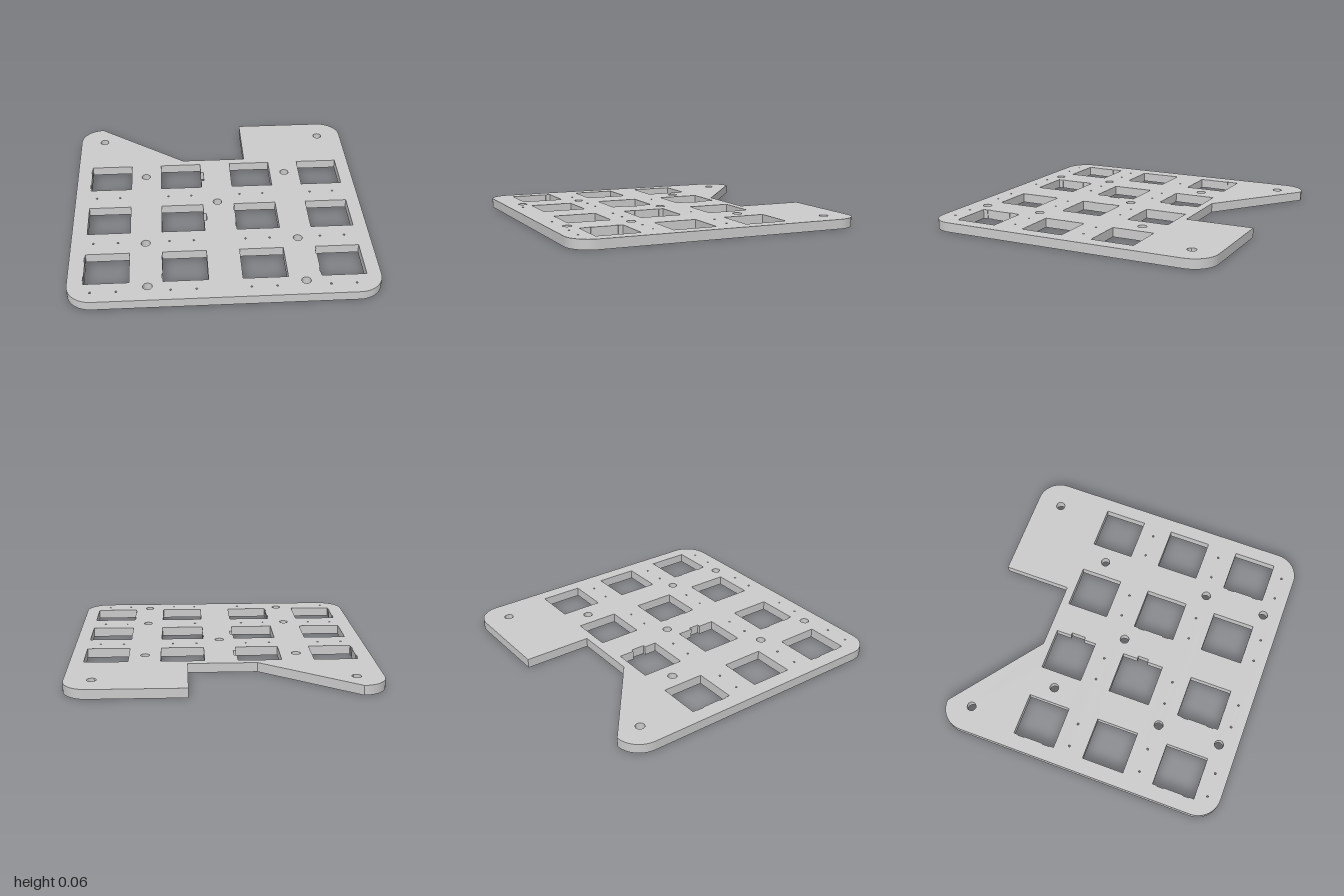
import * as THREE from 'three';

const THICK = 0.063;
const HALF_X = 1, HALF_Z = 0.988, CORNER = 0.16;
const material = new THREE.MeshStandardMaterial({ color: 0xcccccc, flatShading: true });

// Shapes are drawn in plan with y = -z.
const path = (pts) => new THREE.Path(pts.map(([x, z]) => new THREE.Vector2(x, -z)));

function roundHole(x, z, r, sides) {
  const pts = [];
  for (let i = 0; i < sides; i++) {
    const a = (i / sides) * Math.PI * 2;
    pts.push([x + r * Math.cos(a), z + r * Math.sin(a)]);
  }
  return path(pts);
}

// Square opening, with optional shallow clip notches on the left or a cable recess on the right
function squareHole(x, z, clips, recess) {
  const h = 0.1445, pts = [[x - h, z - h], [x + h, z - h]];
  if (recess) {
    const [a, b] = recess, out = x + h + 0.02;
    pts.push([x + h, a], [out, a], [out, b], [x + h, b]);
  }
  pts.push([x + h, z + h], [x - h, z + h]);
  if (clips) {
    for (const c of [0.09, -0.09]) {
      pts.push([x - h, z + c + 0.022], [x - h - 0.005, z + c + 0.022],
        [x - h - 0.005, z + c - 0.022], [x - h, z + c - 0.022]);
    }
  }
  return path(pts);
}

export function createModel() {
  const group = new THREE.Group();
  group.name = 'mountingPlate';

  // Outline: rounded rectangle with a rectangular notch at the back
  const outline = new THREE.Shape();
  const cx = HALF_X - CORNER, cy = HALF_Z - CORNER, q = Math.PI / 2;
  outline.moveTo(-0.228, HALF_Z);
  outline.absarc(-cx, cy, CORNER, q, 2 * q, false);
  outline.absarc(-cx, -cy, CORNER, 2 * q, 3 * q, false);
  outline.absarc(cx, -cy, CORNER, 3 * q, 4 * q, false);
  outline.absarc(cx, cy, CORNER, 0, q, false);
  outline.lineTo(0.228, HALF_Z);
  outline.lineTo(0.228, 0.525);
  outline.lineTo(-0.228, 0.525);
  outline.closePath();

  // Four by three grid of square openings
  const columns = [-0.752, -0.248, 0.26, 0.763];
  const rows = [-0.325, 0.174, 0.675];
  const clipped = ['0,0', '2,1', '0,2', '1,2', '3,2'];
  const recesses = { '1,0': [-0.364, -0.265], '1,1': [0.134, 0.208] };
  columns.forEach((x, c) => rows.forEach((z, r) => {
    const key = `${c},${r}`;
    outline.holes.push(squareHole(x, z, clipped.includes(key), recesses[key]));
  }));

  // Screw holes
  const screws = [[-0.825, -0.814], [0.825, -0.814], [-0.503, -0.332], [0.511, -0.338], [0, -0.001],
    [-0.503, 0.433], [0.514, 0.433], [-0.49, 0.861], [0.514, 0.861]];
  for (const [x, z] of screws) outline.holes.push(roundHole(x, z, 0.031, 12));

  // Pairs of pin holes in front of each opening
  for (const x of columns) {
    for (const z of [-0.084, 0.42, 0.9]) {
      for (const dx of [-0.097, 0.066]) outline.holes.push(roundHole(x + dx, z, 0.007, 8));
    }
  }

  const geometry = new THREE.ExtrudeGeometry(outline, { depth: THICK, bevelEnabled: false, curveSegments: 6 });
  geometry.rotateX(-Math.PI / 2);
  const plate = new THREE.Mesh(geometry, material);
  plate.name = 'plate';
  group.add(plate);
  return group;
}
